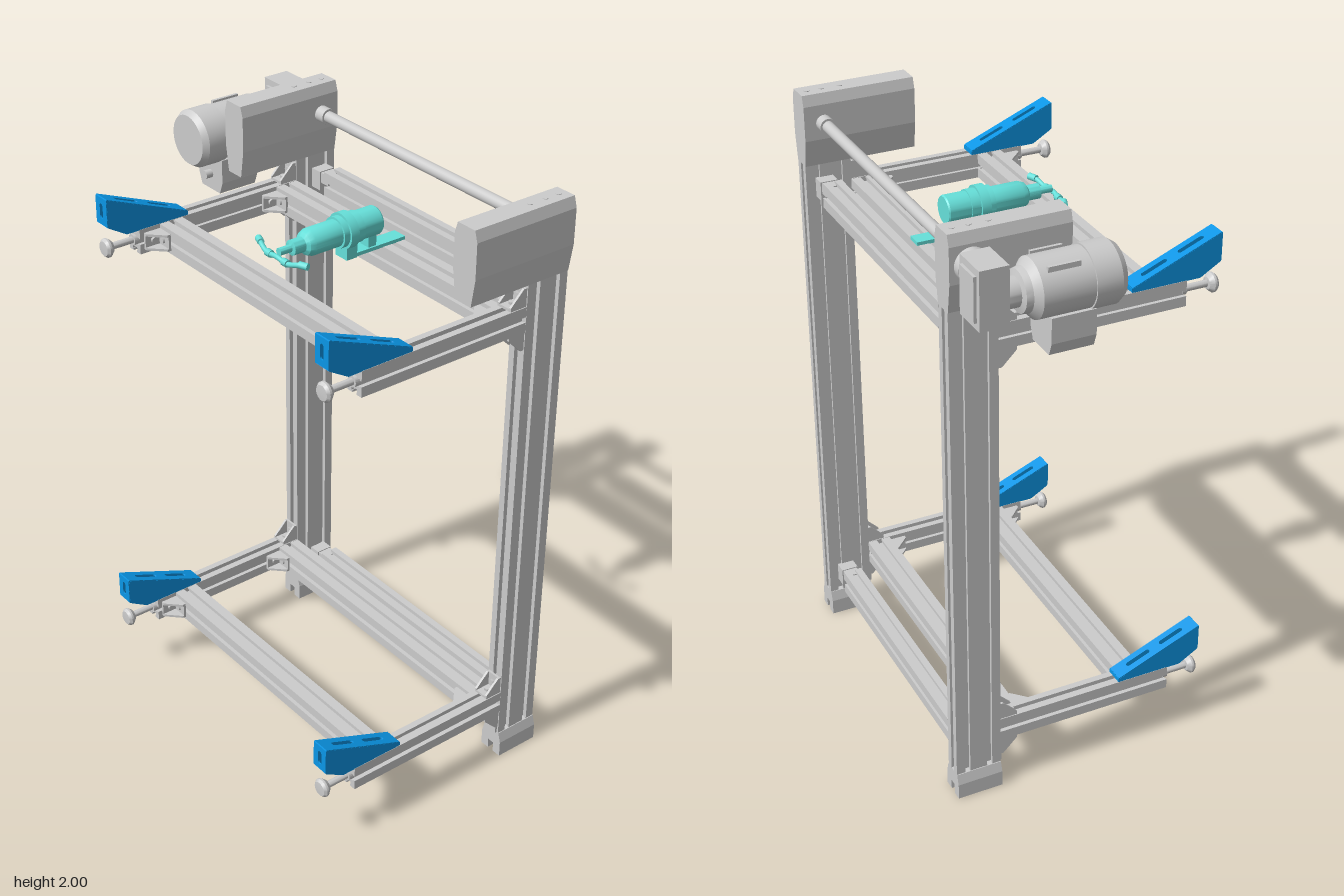
import * as THREE from 'three';
import { toCreasedNormals } from 'three/addons/utils/BufferGeometryUtils.js';

const grey = new THREE.MeshStandardMaterial({ color: 0xcccccc });
const blue = new THREE.MeshStandardMaterial({ color: 0x0a96e6 });
const cyan = new THREE.MeshStandardMaterial({ color: 0x66e0da });
const MID = 0.095, HALF = 0.55, H = Math.PI / 2;

function add(parent, name, geo, x = 0, y = 0, z = 0, mat = grey) {
  const m = new THREE.Mesh(geo, mat);
  m.name = name;
  m.position.set(x, y, z);
  parent.add(m);
  return m;
}
const box = (w, h, d) => new THREE.BoxGeometry(w, h, d);
const shapeOf = (pts) => new THREE.Shape(pts.map(([a, b]) => new THREE.Vector2(a, b)));
// extrusion centred on its own depth
function extrude(shape, depth) {
  return new THREE.ExtrudeGeometry(shape, { depth, bevelEnabled: false, curveSegments: 8 }).translate(0, 0, -depth / 2);
}
// turned part; points are [radius, z], axis along z
function turned(pts, seg = 32) {
  const g = new THREE.LatheGeometry(pts.map(([r, z]) => new THREE.Vector2(r, z)), seg);
  return toCreasedNormals(g.rotateX(H), 0.5);
}
const rod = (r, len, seg = 24) => new THREE.CylinderGeometry(r, r, len, seg);

// slotted aluminium profile: w x h section with nw / nh T-slots per face
function profile(w, h, len, axis, nw = 1, nh = 1) {
  const pts = [];
  const sides = [[w, h, nw], [h, w, nh], [w, h, nw], [h, w, nh]];
  sides.forEach(([L, across, n], k) => {
    const c = [1, 0, -1, 0][k], s = [0, 1, 0, -1][k];
    const put = (a, depth) => {
      const b = -across / 2 + depth;
      pts.push([a * c - b * s, a * s + b * c]);
    };
    put(-L / 2, 0);
    for (let i = 0; i < n; i++) {
      const m = ((i + 0.5) / n - 0.5) * L;
      for (const [a, d] of [[-0.009, 0], [-0.009, 0.007], [-0.012, 0.007], [-0.012, 0.017],
        [0.012, 0.017], [0.012, 0.007], [0.009, 0.007], [0.009, 0]]) put(m + a, d);
    }
  });
  const g = extrude(shapeOf(pts), len);
  if (axis === 'x') g.rotateY(H);
  if (axis === 'y') g.rotateX(-H);
  return g;
}

// corner bracket: legs along local +x and +y, two triangular cheeks
function gusset(parent, name, x, y, z, rx, ry, rz, s = 0.06) {
  const g = new THREE.Group();
  g.name = name;
  const t = 0.008, w = 0.056;
  add(g, 'bracketLegs', extrude(shapeOf([[0, 0], [s, 0], [s, t], [t, t], [t, s], [0, s]]), w));
  for (const e of [-1, 1]) {
    add(g, 'bracketCheek', extrude(shapeOf([[0, 0], [s, 0], [s, 0.012], [0.012, s], [0, s]]), t), 0, 0, e * (w - t) / 2);
  }
  add(g, 'bracketBolt', rod(0.011, 0.012, 6), s / 2, 0.01, 0);
  add(g, 'bracketBolt', rod(0.011, 0.012, 6).rotateZ(H), 0.01, s / 2, 0);
  g.position.set(x, y, z);
  g.rotation.set(rx, ry, rz);
  parent.add(g);
}

// sheet-metal wedge guide standing on an arm; y = 0 is the arm's top
function guide(parent, x, y) {
  const g = new THREE.Group();
  g.name = 'wedgeGuide';
  const pts = [[0.37, 0], [0.437, 0.04], [0.437, 0.13], [0.145, 0.012], [0.145, 0]];
  for (const e of [-1, 1]) {
    // cheek shape is drawn as (z, y) and turned into the side plane
    add(g, 'guideCheek', extrude(shapeOf(pts), 0.005).rotateY(-H), e * 0.028, 0, 0, blue);
  }
  const slots = { 1: [0.05], 2: [0.09, 0.09] };
  pts.forEach(([z0, y0], i) => {
    const [z1, y1] = pts[(i + 1) % pts.length];
    const L = Math.hypot(z1 - z0, y1 - y0);
    const plate = shapeOf([[-0.03, -L / 2], [0.03, -L / 2], [0.03, L / 2], [-0.03, L / 2]]);
    (slots[i] || []).forEach((s, k, all) => {
      const c = (k - (all.length - 1) / 2) * 0.13, r = 0.008;
      const hole = new THREE.Path();
      hole.absarc(0, c + s / 2 - r, r, 0, Math.PI);
      hole.absarc(0, c - s / 2 + r, r, Math.PI, 2 * Math.PI);
      hole.closePath();
      plate.holes.push(hole);
    });
    const m = add(g, 'guidePlate', extrude(plate, 0.005), 0, (y0 + y1) / 2, (z0 + z1) / 2, blue);
    m.rotation.x = Math.atan2(z1 - z0, y1 - y0);
  });
  g.position.set(x, y, 0);
  parent.add(g);
}

// one upright with its foot and head housing
function upright(parent, side) {
  const x = MID + side * HALF;
  add(parent, 'post', profile(0.063, 0.155, 1.74, 'y', 1, 2), x, 0.94, -0.3625);
  const foot = [[-0.044, 0], [-0.012, 0], [-0.012, 0.035], [0.012, 0.035], [0.012, 0], [0.044, 0],
    [0.044, 0.055], [0.034, 0.09], [-0.034, 0.09], [-0.044, 0.055]];
  add(parent, 'foot', extrude(shapeOf(foot), 0.155), x, 0, -0.3625);
  add(parent, 'footCollar', box(0.05, 0.05, 0.008), x, 0.115, -0.282);
  const head = [[-0.033, 1.76], [0.033, 1.76], [0.047, 1.85], [0.047, 1.965], [0.036, 2], [-0.036, 2], [-0.047, 1.965], [-0.047, 1.85]];
  add(parent, 'headHousing', extrude(shapeOf(head), 0.377), x, 0, -0.2515);
  for (const z of [-0.41, -0.36, -0.3]) add(parent, 'headBolt', rod(0.009, 0.006, 12), x, 2 - 0.001, z);
  add(parent, 'shaftCollar', rod(0.026, 0.04).rotateZ(H), x - side * 0.065, 1.905, -0.375);
}

// one level: two arms, front and back beams, rear rail and brackets
function level(parent, y, railY) {
  for (const side of [-1, 1]) {
    const x = MID + side * HALF, inner = x - side * 0.031;
    add(parent, 'arm', profile(0.062, 0.084, 0.61, 'z'), x, y, 0.02);
    // end cap and adjustable bumper
    add(parent, 'bumper', turned([[0, 0.32], [0.018, 0.32], [0.018, 0.335], [0.011, 0.335], [0.011, 0.41],
      [0.02, 0.412], [0.031, 0.425], [0.031, 0.432], [0.024, 0.44], [0, 0.442]], 24), x, y, 0);
    guide(parent, x, y + 0.043);
    gusset(parent, 'armBracketUpper', x, y + 0.042, -0.285, 0, -H, 0);
    gusset(parent, 'armBracketLower', x, y - 0.042, -0.285, 0, -H, -H);
    for (const z of [0.25, -0.205]) {
      gusset(parent, 'beamBracket', inner, y, z, H, 0, side < 0 ? 0 : H);
    }
    // stepped connector holding the rear rail to the post
    add(parent, 'railConnector', box(0.085, 0.035, 0.05), inner - side * 0.037, railY + 0.012, -0.378);
    add(parent, 'railConnectorFlange', box(0.045, 0.065, 0.058), inner - side * 0.02, railY, -0.378);
  }
  const span = 2 * HALF - 0.06;
  add(parent, 'frontBeam', profile(0.084, 0.082, span, 'x'), MID, y, 0.207);
  add(parent, 'backBeam', profile(0.082, 0.082, span, 'x'), MID, y, -0.245);
  add(parent, 'rearRail', profile(0.065, 0.085, 0.9, 'x'), MID, railY, -0.378);
}

function motor(parent) {
  const g = new THREE.Group();
  g.name = 'gearMotor';
  const x = -0.602, y = 1.848;
  add(g, 'motorBody', turned([[0, -0.33], [0.045, -0.33], [0.045, -0.29], [0.064, -0.285], [0.068, -0.265],
    [0.09, -0.245], [0.09, -0.085], [0.095, -0.085], [0.095, -0.005], [0.082, 0.015], [0, 0.015]], 40), x, y, 0);
  for (const s of [-1, 1]) add(g, 'motorRib', box(0.01, 0.02, 0.1), x + s * 0.055, y + 0.073, -0.17);
  const tb = [[-0.065, 0.12], [-0.065, 0.04], [-0.05, 0], [0.05, 0], [0.065, 0.04], [0.065, 0.12]].reverse();
  add(g, 'terminalBox', extrude(shapeOf(tb.reverse()), 0.14), x, 1.655, -0.14);
  add(g, 'cableGland', rod(0.014, 0.03, 12).rotateX(H), x, 1.71, -0.06);
  add(g, 'gearbox', box(0.125, 0.185, 0.09), x + 0.008, 1.868, -0.377);
  add(g, 'gearboxCover', box(0.09, 0.14, 0.108), x + 0.008, 1.868, -0.377);
  add(g, 'gearboxFlange', rod(0.052, 0.03).rotateZ(H), -0.52, 1.905, -0.375);
  add(g, 'outputStub', rod(0.024, 0.06).rotateZ(H), -0.5, 1.905, -0.375);
  parent.add(g);
}

// air unit lying on the back beam, with a T-shaped hose fitting at the front
function airUnit(parent) {
  const g = new THREE.Group();
  g.name = 'airUnit';
  add(g, 'cylinderBody', turned([[0, -0.19], [0.043, -0.19], [0.046, -0.185], [0.046, -0.115], [0.05, -0.115],
    [0.05, -0.085], [0.058, -0.085], [0.058, -0.055], [0.05, -0.055], [0.05, -0.035], [0.043, -0.035], [0.043, 0.065],
    [0.036, 0.082], [0.024, 0.09], [0.024, 0.13], [0.012, 0.133], [0.012, 0.175], [0, 0.175]]), 0, 1.775, 0, cyan);
  add(g, 'mountPlate', box(0.052, 0.012, 0.23), 0, 1.693, -0.175, cyan);
  add(g, 'mountSaddle', box(0.055, 0.06, 0.04), 0, 1.715, -0.08, cyan);
  add(g, 'rearSaddle', box(0.04, 0.05, 0.03), 0, 1.715, -0.165, cyan);
  const path = new THREE.CatmullRomCurve3([[-0.12, 0.01, 0.16], [-0.09, 0.005, 0.172], [-0.05, -0.005, 0.18], [0, 0, 0.182],
    [0.05, -0.005, 0.18], [0.09, 0.005, 0.172], [0.12, 0.01, 0.16]].map((p) => new THREE.Vector3(...p)));
  add(g, 'hoseTee', new THREE.TubeGeometry(path, 32, 0.008, 10), 0, 1.762, 0, cyan);
  for (const s of [-1, 1]) {
    add(g, 'hoseNut', rod(0.012, 0.022, 8).rotateZ(H), s * 0.04, 1.758, 0.18, cyan);
    const tip = add(g, 'hoseEnd', rod(0.011, 0.03, 12).rotateZ(H), s * 0.108, 1.77, 0.165, cyan);
    tip.rotation.y = s * 0.38;
  }
  g.position.x = 0.097;
  parent.add(g);
}

export function createModel() {
  const model = new THREE.Group();
  model.name = 'liftFrame';
  for (const side of [-1, 1]) upright(model, side);
  level(model, 0.219, 0.168);
  level(model, 1.647, 1.683);
  add(model, 'driveShaft', rod(0.019, 1.04).rotateZ(H), MID, 1.905, -0.375);
  motor(model);
  airUnit(model);
  return model;
}
